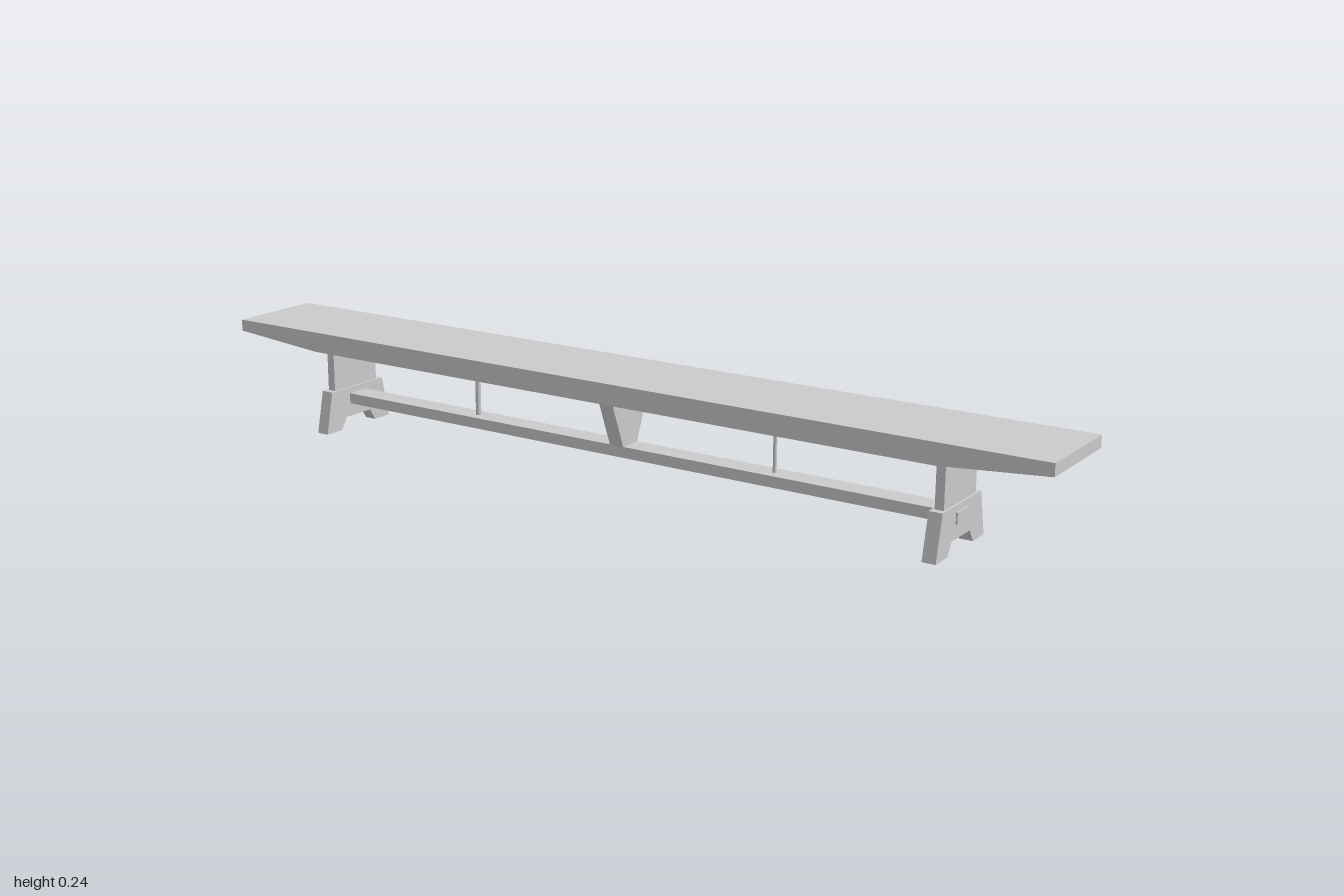
import * as THREE from 'three';

const material = new THREE.MeshStandardMaterial({ color: 0xcccccc, flatShading: true });

function add(parent, name, geometry, x = 0, y = 0, z = 0) {
  const mesh = new THREE.Mesh(geometry, material);
  mesh.name = name;
  mesh.position.set(x, y, z);
  parent.add(mesh);
  return mesh;
}

// Extrude an outline, centred on its depth
function slab(points, depth) {
  const shape = new THREE.Shape(points.map(([a, b]) => new THREE.Vector2(a, b)));
  return new THREE.ExtrudeGeometry(shape, { depth, bevelEnabled: false }).translate(0, 0, -depth / 2);
}

// Complete a half outline by mirroring it
const mirrored = (half) => [...half, ...half.map(([a, b]) => [-a, b]).reverse()];

export function createModel() {
  const bench = new THREE.Group();
  bench.name = 'bench';

  // Seat plank, thinned underneath towards both ends
  add(bench, 'seat', slab(mirrored([[0.77, 0.193], [1, 0.212], [1, 0.238]]), 0.22));

  // End supports: upright board in a splayed foot
  const footOutline = mirrored([[0.04, 0.027], [0.057, 0], [0.106, 0], [0.085, 0.095]]);
  for (const side of [-1, 1]) {
    const support = new THREE.Group();
    support.name = side > 0 ? 'leftSupport' : 'rightSupport';
    support.position.x = side * 0.763;
    add(support, 'upright', new THREE.BoxGeometry(0.019, 0.113, 0.14), 0, 0.1375, 0);
    add(support, 'foot', slab(footOutline, 0.029).rotateY(Math.PI / 2));
    bench.add(support);
  }

  // Long rail with its ends showing through the feet
  add(bench, 'rail', new THREE.BoxGeometry(1.562, 0.024, 0.052), 0, 0.069, 0);

  // Tapered block in the middle, between rail and seat
  const block = slab(mirrored([[0.026, 0.081], [0.07, 0.193]]), 0.034).rotateY(Math.PI / 2);
  add(bench, 'middleBlock', block);

  // Thin tie rods
  for (const [x, radius] of [[-0.39, 0.006], [0.368, 0.004]]) {
    add(bench, 'tieRod', new THREE.CylinderGeometry(radius, radius, 0.114, 12), x, 0.137, 0);
  }
  return bench;
}
